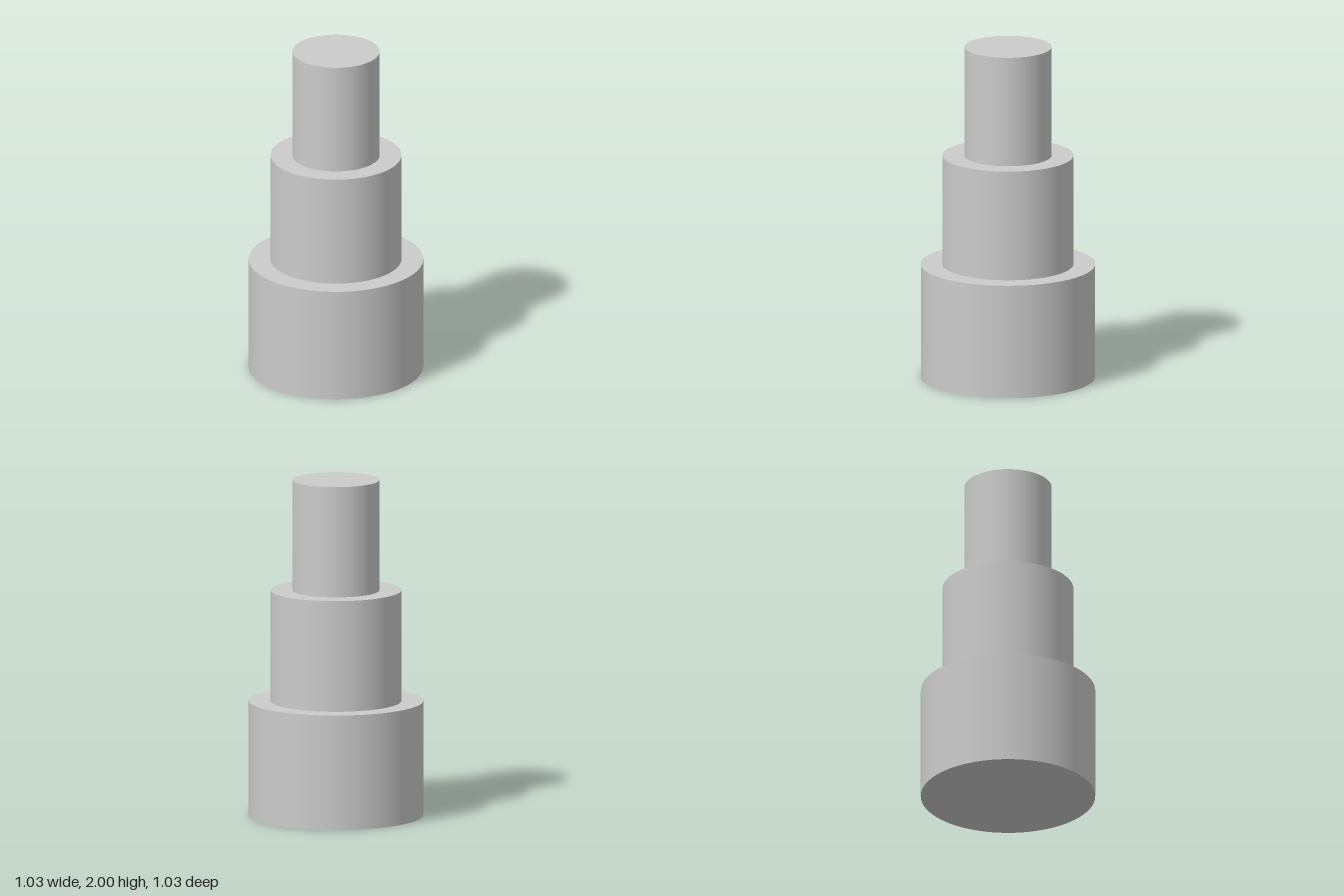
import * as THREE from 'three';

export function createModel() {
  const group = new THREE.Group();
  group.name = 'steppedShaft';
  const material = new THREE.MeshStandardMaterial({ color: 0xcccccc });

  // Three coaxial tiers: name, radius, bottom, top
  const tiers = [
    ['baseTier', 0.513, 0, 0.682],
    ['middleTier', 0.385, 0.682, 1.342],
    ['topTier', 0.257, 1.342, 2],
  ];
  for (const [name, radius, bottom, top] of tiers) {
    const mesh = new THREE.Mesh(
      new THREE.CylinderGeometry(radius, radius, top - bottom, 96),
      material
    );
    mesh.name = name;
    mesh.position.y = (bottom + top) / 2;
    group.add(mesh);
  }
  return group;
}
